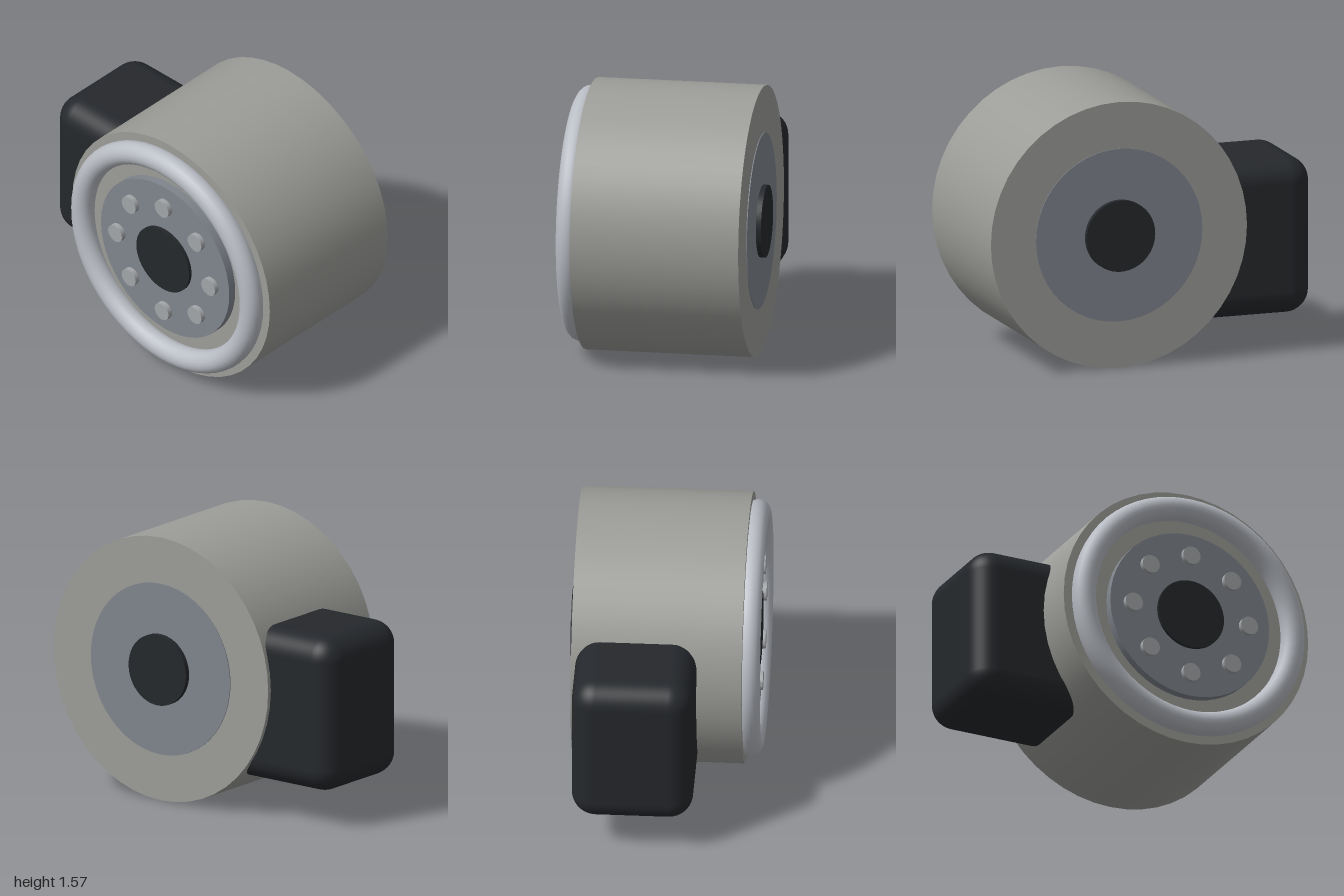
import * as THREE from 'three';
import { RoundedBoxGeometry } from 'three/addons/geometries/RoundedBoxGeometry.js';

const CX = 0.21, CY = 0.785; // wheel axis

const paint = (color) => new THREE.MeshStandardMaterial({ color });

// Cylinder along z, from z0 (back) to z1 (front)
function disc(name, radius, z0, z1, material, segments = 48) {
  const geometry = new THREE.CylinderGeometry(radius, radius, z1 - z0, segments);
  geometry.rotateX(Math.PI / 2);
  const mesh = new THREE.Mesh(geometry, material);
  mesh.name = name;
  mesh.position.z = (z0 + z1) / 2;
  return mesh;
}

export function createModel() {
  const model = new THREE.Group();
  model.name = 'drumMotor';

  const bodyMat = paint(0x9c9d98);
  const ringMat = paint(0xb9bdc4);
  const hubMat = paint(0x80858d);
  const boltMat = paint(0xa3a6a9);
  const darkMat = paint(0x25282c);

  const wheel = new THREE.Group();
  wheel.name = 'wheel';
  wheel.position.set(CX, CY, 0);
  model.add(wheel);

  // Drum, flange and axle run through to the back
  wheel.add(disc('drum', 0.785, -0.525, 0.46, bodyMat));
  wheel.add(disc('hubFlange', 0.51, -0.53, 0.51, hubMat));
  wheel.add(disc('axle', 0.21, -0.56, 0.53, darkMat));

  // Raised ring on the front face
  const ring = new THREE.Mesh(new THREE.TorusGeometry(0.67, 0.07, 20, 64), ringMat);
  ring.name = 'frontRing';
  ring.position.z = 0.49;
  wheel.add(ring);

  // Bolt circle
  const bolts = new THREE.Group();
  bolts.name = 'bolts';
  for (let i = 0; i < 8; i++) {
    const a = (i * Math.PI) / 4;
    const bolt = disc('bolt', 0.055, 0.48, 0.54, boltMat, 24);
    bolt.position.x = 0.37 * Math.cos(a);
    bolt.position.y = 0.37 * Math.sin(a);
    bolts.add(bolt);
  }
  wheel.add(bolts);

  // Rounded housing let into the side of the drum
  const housing = new THREE.Mesh(new RoundedBoxGeometry(0.92, 0.92, 0.7, 6, 0.14), darkMat);
  housing.name = 'sideHousing';
  housing.position.set(-0.54, 0.675, -0.15);
  model.add(housing);

  return model;
}
